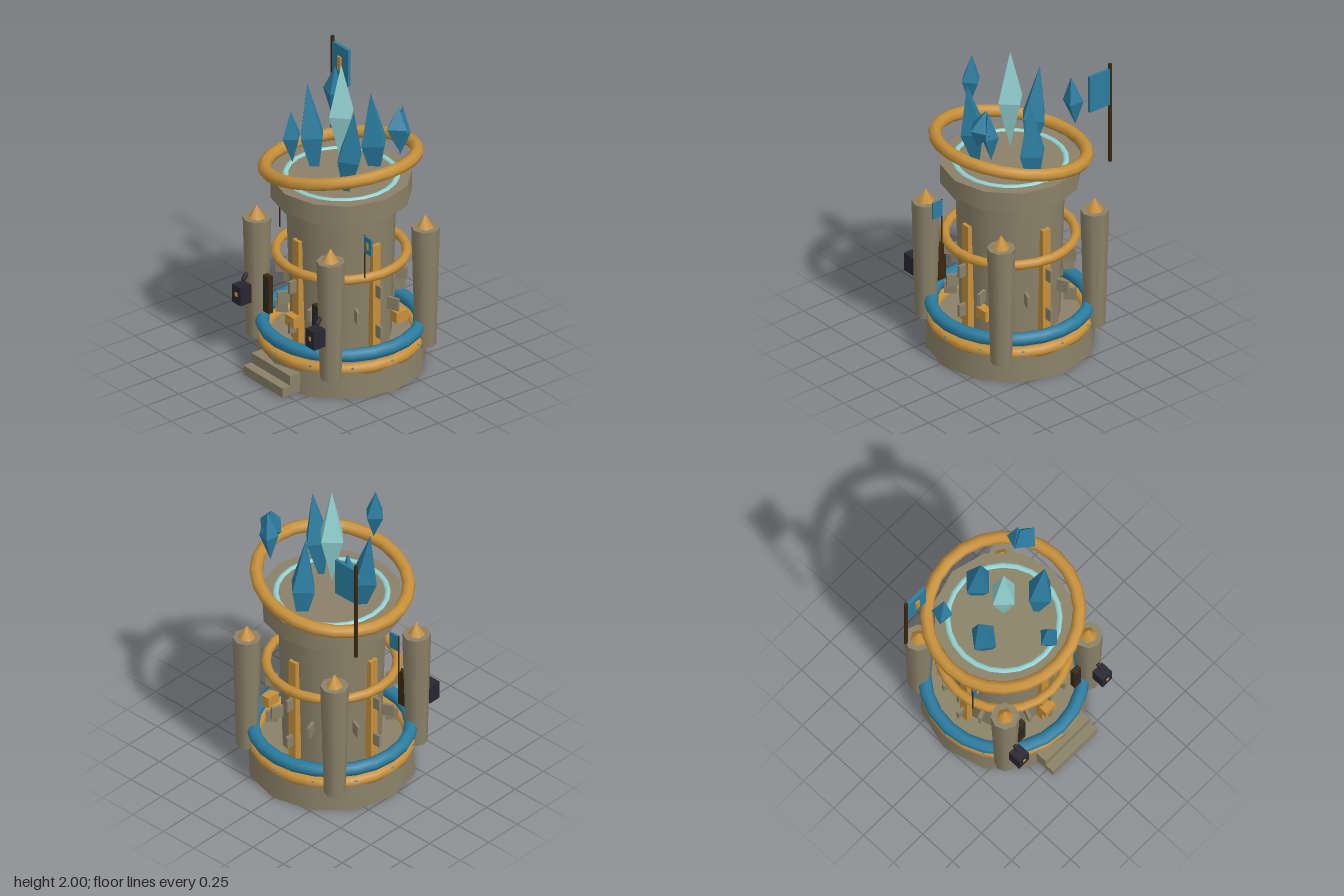
import * as THREE from 'three';

const mat = (name, color) => {
  const m = new THREE.MeshStandardMaterial({ color });
  m.name = name;
  return m;
};

export function createModel() {
  const stone = mat('stone', 0x8b8168);
  const gold = mat('gold', 0xc6903a);
  const blue = mat('blue', 0x2b7ca0);
  const pale = mat('paleCrystal', 0x93d2d2);
  const wood = mat('darkWood', 0x382811);
  const navy = mat('darkIron', 0x282532);

  const model = new THREE.Group();
  model.name = 'crystalTower';
  // The tower axis sits slightly behind the origin because of the front steps
  const tower = new THREE.Group();
  tower.name = 'tower';
  tower.position.z = -0.04;
  model.add(tower);

  const add = (name, geo, material, x = 0, y = 0, z = 0, parent = tower) => {
    const m = new THREE.Mesh(geo, material);
    m.name = name;
    m.position.set(x, y, z);
    parent.add(m);
    return m;
  };
  const box = (name, material, w, h, d, x, y, z, parent) =>
    add(name, new THREE.BoxGeometry(w, h, d), material, x, y, z, parent);
  // Cylinder between two heights
  const drum = (name, material, rTop, rBottom, y0, y1, sides, x = 0, z = 0, parent = tower) =>
    add(name, new THREE.CylinderGeometry(rTop, rBottom, y1 - y0, sides), material, x, (y0 + y1) / 2, z, parent);
  // Horizontal ring
  const ring = (name, material, R, r, y) =>
    add(name, new THREE.TorusGeometry(R, r, 8, 24).rotateX(Math.PI / 2), material, 0, y, 0);

  // Main masonry
  drum('base', stone, 0.505, 0.513, 0, 0.185, 12);
  drum('shaft', stone, 0.335, 0.305, 0.18, 1.14, 12);
  drum('cap', stone, 0.427, 0.427, 1.13, 1.26, 12);
  box('lowerStep', stone, 0.38, 0.06, 0.16, 0, 0.045, 0.515);
  box('upperStep', stone, 0.38, 0.065, 0.1, 0, 0.108, 0.485);

  // Rings
  ring('baseGoldRing', gold, 0.468, 0.038, 0.18);
  ring('baseBlueRing', blue, 0.476, 0.042, 0.278);
  ring('middleGoldRing', gold, 0.395, 0.03, 0.747);
  ring('glowRing', pale, 0.337, 0.021, 1.25);
  const halo = ring('tiltedHalo', gold, 0.463, 0.04, 1.365);
  halo.position.x = -0.005;
  halo.rotation.z = 0.19;

  // Small gems set in the lower gold ring
  for (let i = 0; i < 12; i++) {
    const a = (i / 12) * Math.PI * 2;
    const g = add('ringGem', new THREE.OctahedronGeometry(0.014), blue, Math.sin(a) * 0.495, 0.2, Math.cos(a) * 0.495);
    g.scale.y = 0.5;
  }

  // Four gold strips up the shaft
  for (let i = 0; i < 4; i++) {
    const side = new THREE.Group();
    side.name = 'stripSide';
    side.rotation.y = (i * Math.PI) / 2;
    tower.add(side);
    box('goldStrip', gold, 0.058, 0.72, 0.045, 0, 0.56, 0.325, side);
  }

  // Three rows of protruding stones, the middle row staggered
  [[0.615, 0], [0.475, 0.5], [0.345, 0]].forEach(([y, shift]) => {
    for (let i = 0; i < 8; i++) {
      const a = ((i + shift) / 8) * Math.PI * 2;
      const s = box('wallStone', stone, 0.02, 0.08, 0.075, Math.sin(a) * 0.36, y, Math.cos(a) * 0.36);
      s.rotation.y = a;
    }
  });

  // Corner pillars with gold spikes
  for (const sx of [-1, 1]) for (const sz of [-1, 1]) {
    const x = sx * 0.36, z = sz * 0.36;
    drum('pillar', stone, 0.087, 0.065, 0.145, 0.935, 8, x, z);
    add('pillarSpike', new THREE.ConeGeometry(0.062, 0.1, 6), gold, x, 0.97, z);
  }

  for (const s of [-1, 1]) {
    // Lanterns on the front pillars
    box('lantern', navy, 0.082, 0.12, 0.085, s * 0.36, 0.455, 0.475);
    box('lanternLight', gold, 0.02, 0.025, 0.006, s * 0.36, 0.46, 0.519);
    const hook = add('lanternHook', new THREE.CapsuleGeometry(0.014, 0.03, 3, 8), navy, s * 0.36, 0.56, 0.452);
    hook.rotation.x = -0.7;
    // Narrow doors
    box('doorFrame', wood, 0.056, 0.245, 0.035, s * 0.24, 0.468, 0.37);
    box('doorPanel', navy, 0.03, 0.13, 0.006, s * 0.24, 0.485, 0.389);
    // Small flags on the middle ring
    const fx = s > 0 ? 0.412 : -0.415;
    drum('smallPole', wood, 0.005, 0.005, 0.775, 1.06, 6, fx, 0.143);
    box('smallFlag', blue, 0.07, 0.11, 0.012, fx + 0.036, 1.003, 0.143);
    box('smallFlagEmblem', gold, 0.018, 0.045, 0.006, fx + 0.036, 1.003, 0.151);
  }

  // Gold chests
  box('frontChest', gold, 0.085, 0.07, 0.06, 0, 0.388, 0.365);
  box('sideChest', gold, 0.06, 0.07, 0.09, 0.34, 0.39, -0.178);

  // Tall flag
  drum('tallPole', wood, 0.012, 0.012, 1.205, 1.88, 8, -0.505, -0.327);
  box('tallFlag', blue, 0.155, 0.245, 0.02, -0.42, 1.725, -0.327);
  box('tallFlagEmblem', gold, 0.032, 0.09, 0.014, -0.42, 1.733, -0.312);

  // Crystals: x, y, z, radius, half height, rotation x, y, z
  const crystal = (name, material, x, y, z, r, h, rx = 0, ry = 0, rz = 0) => {
    const geo = new THREE.OctahedronGeometry(1).scale(r, h, r).rotateY(ry);
    add(name, geo, material, x, y, z).rotation.set(rx, 0, rz);
  };
  crystal('centreCrystal', pale, 0, 1.67, 0, 0.093, 0.33);
  crystal('leftTallCrystal', blue, 0.21, 1.49, -0.02 + 0.12, 0.093, 0.325, 0, 0, -0.13);
  crystal('rightTallCrystal', blue, -0.222, 1.445, 0.05, 0.093, 0.34, 0, 0.1, 0.14);
  crystal('backTallCrystal', blue, 0.018, 1.41, -0.232, 0.095, 0.34, 0.07);
  crystal('frontFloatingCrystal', blue, 0, 1.635, 0.377, 0.068, 0.17, 0, 0, 0.05);
  crystal('rightFloatingCrystal', blue, -0.328, 1.63, -0.195, 0.065, 0.17, 0, 0.6, -0.1);
  crystal('leftFloatingCrystal', blue, 0.35, 1.665, -0.16, 0.085, 0.13, -0.15, 0, 0.15);
  crystal('leftFloatingShard', blue, 0.325, 1.625, -0.205, 0.06, 0.17, 0, 0.5, -0.08);

  return model;
}
